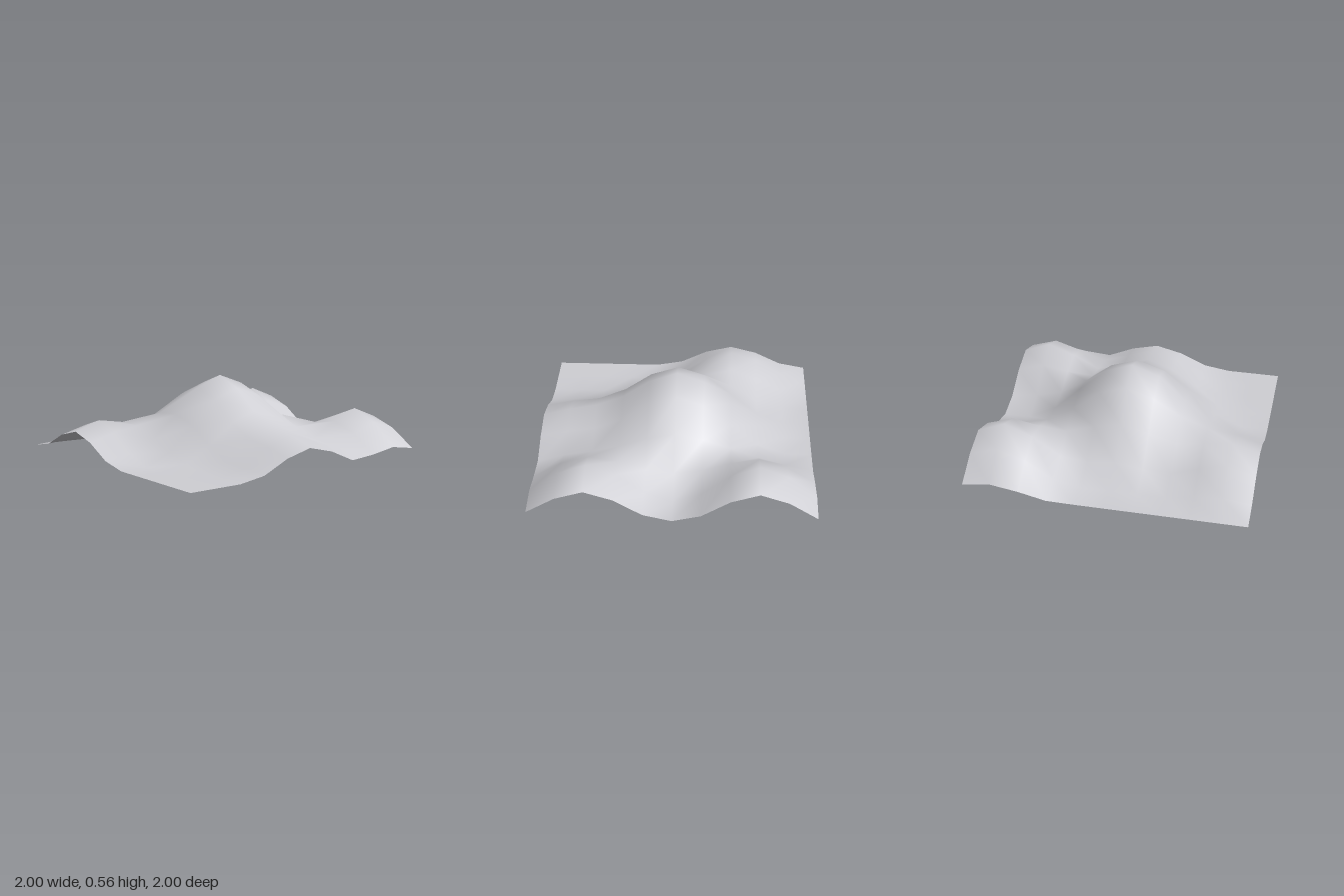
import * as THREE from 'three';

// Hills: centre x, centre z, height, radius
const hills = [
  { x: 0, z: 0, height: 0.56, radius: 0.845 },
  { x: -0.6, z: -0.8, height: 0.325, radius: 0.6 },
  { x: 0.6, z: -0.8, height: 0.31, radius: 0.6 },
  { x: -0.4, z: 0.8, height: 0.25, radius: 0.6 },
  { x: 0.81, z: 0, height: 0.22, radius: 0.58 },
];

// Each hill is a raised-cosine bell; overlapping hills add up
function heightAt(x, z) {
  let y = 0;
  for (const hill of hills) {
    const t = Math.hypot(x - hill.x, z - hill.z) / hill.radius;
    if (t < 1) y += hill.height * (1 + Math.cos(Math.PI * t)) / 2;
  }
  return y;
}

export function createModel() {
  const model = new THREE.Group();
  model.name = 'hillyTerrain';

  const paleGrey = new THREE.MeshStandardMaterial({ color: 0xcfcfd4, side: THREE.DoubleSide });
  paleGrey.name = 'paleGrey';

  // Open ground sheet raised into hills
  const ground = new THREE.PlaneGeometry(2, 2, 10, 10).rotateX(-Math.PI / 2);
  const p = ground.attributes.position;
  for (let i = 0; i < p.count; i++) p.setY(i, heightAt(p.getX(i), p.getZ(i)));
  ground.computeVertexNormals();

  const terrain = new THREE.Mesh(ground, paleGrey);
  terrain.name = 'terrain';
  model.add(terrain);
  return model;
}
